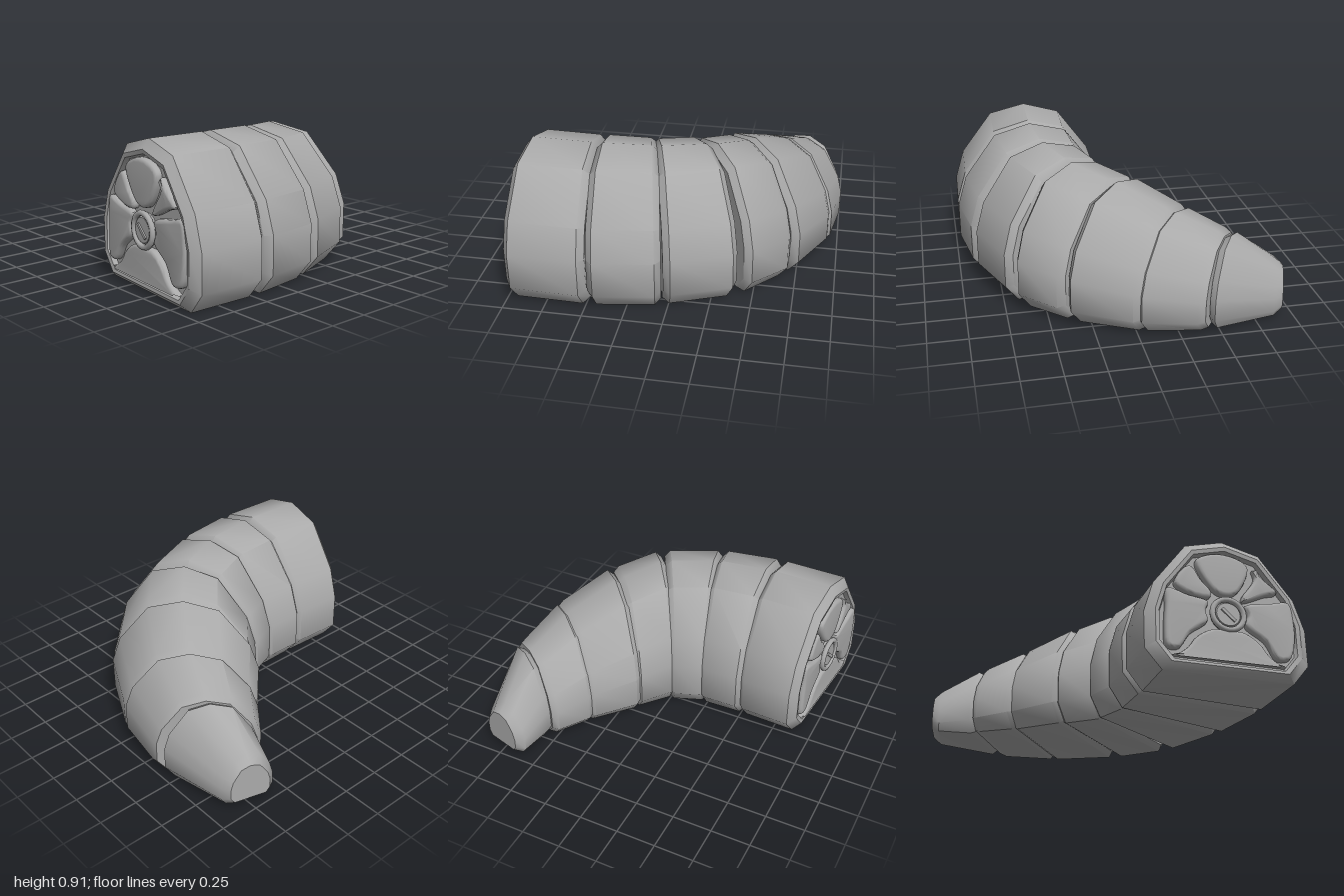
import * as THREE from 'three';
import { toCreasedNormals } from 'three/addons/utils/BufferGeometryUtils.js';

// Half cross-section: u across (-1..1), v up (0..1), flat underside
const HALF = [[0.8, 0], [1, 0.14], [1, 0.4], [0.88, 0.62], [0.47, 0.93]];
const PROFILE = [...HALF, [0, 1], ...HALF.map(([u, v]) => [-u, v]).reverse()];

// Each segment: front inner x,z, outer x,z, height; then the same at the back
const SEGMENTS = [
  [-0.06, 0.86, 0.965, 0.95, 0.912, -0.045, 0.54, 0.975, 0.52, 0.912],
  [-0.05, 0.49, 0.975, 0.43, 0.912, -0.05, 0.26, 0.915, 0.06, 0.905],
  [-0.045, 0.235, 0.885, -0.03, 0.9, -0.105, 0.075, 0.74, -0.39, 0.885],
  [-0.1, 0.05, 0.67, -0.5, 0.875, -0.27, -0.09, 0.46, -0.7, 0.82],
  [-0.31, -0.105, 0.385, -0.765, 0.81, -0.515, -0.305, 0.04, -0.93, 0.69],
  [-0.55, -0.33, -0.01, -0.95, 0.67, -0.72, -0.46, -0.34, -1.0, 0.56],
  [-0.76, -0.525, -0.45, -0.99, 0.54, -0.95, -0.575, -0.86, -0.9, 0.345],
];

// One cross-section, scaled about its middle and shifted along its forward normal
function ring([lx, lz, rx, rz, h], base, scale = 1, shift = 0) {
  const dx = (rx - lx) / 2, dz = (rz - lz) / 2, len = Math.hypot(dx, dz);
  const cx = (lx + rx) / 2 - (dz / len) * shift;
  const cz = (lz + rz) / 2 + (dx / len) * shift;
  return PROFILE.map(([u, v]) => [
    cx + dx * u * scale,
    base + (h - base) * (0.42 + (v - 0.42) * scale),
    cz + dz * u * scale,
  ]);
}

// Closed skin over rings listed from front to back
function loft(rings) {
  const n = PROFILE.length, pos = rings.flat(2), idx = [];
  for (let r = 0; r < rings.length - 1; r++) {
    for (let j = 0; j < n; j++) {
      const a = r * n + j, b = r * n + (j + 1) % n;
      idx.push(a, a + n, b, b, a + n, b + n);
    }
  }
  const last = (rings.length - 1) * n;
  for (let j = 1; j < n - 1; j++) {
    idx.push(0, j, j + 1, last, last + j + 1, last + j);
  }
  const g = new THREE.BufferGeometry();
  g.setAttribute('position', new THREE.Float32BufferAttribute(pos, 3));
  g.setIndex(idx);
  return toCreasedNormals(g, 0.8);
}

// Raised lobes on the front face: outlines in x,y
const LOBES = {
  topLobe: [[0.26, 0.73], [0.34, 0.785], [0.45, 0.8], [0.57, 0.765], [0.6, 0.72], [0.54, 0.57], [0.48, 0.52], [0.4, 0.52], [0.33, 0.58]],
  upperRightLobe: [[0.12, 0.57], [0.19, 0.68], [0.23, 0.69], [0.29, 0.6], [0.35, 0.53], [0.34, 0.49], [0.24, 0.49], [0.13, 0.54]],
  upperLeftLobe: [[0.63, 0.72], [0.7, 0.66], [0.78, 0.58], [0.7, 0.55], [0.55, 0.49], [0.55, 0.52], [0.64, 0.66]],
  rightLobe: [[0.07, 0.52], [0.2, 0.49], [0.33, 0.46], [0.31, 0.4], [0.32, 0.33], [0.21, 0.24], [0.13, 0.13], [0.06, 0.14], [0.05, 0.25], [0.06, 0.4]],
  leftLobe: [[0.85, 0.52], [0.72, 0.5], [0.56, 0.46], [0.58, 0.4], [0.56, 0.33], [0.68, 0.24], [0.75, 0.13], [0.83, 0.14], [0.87, 0.25], [0.875, 0.4]],
};

export function createModel() {
  const model = new THREE.Group();
  model.name = 'segmentedTail';
  const grey = new THREE.MeshStandardMaterial({ color: 0xaaaaaa });
  grey.name = 'grey';

  const add = (parent, geometry, name, x = 0, y = 0, z = 0) => {
    const mesh = new THREE.Mesh(geometry, grey);
    mesh.name = name;
    mesh.position.set(x, y, z);
    parent.add(mesh);
    return mesh;
  };

  // Curved row of tapering segments with bevelled ends
  SEGMENTS.forEach((s, i) => {
    const front = s.slice(0, 5), back = s.slice(5), base = 0.003 * i;
    const first = i === 0, tip = i === SEGMENTS.length - 1;
    const rings = first
      ? [ring(front, base, 0.82, 0.01), ring(front, base, 0.84, 0.04), ring(front, base, 0.89, 0.045)]
      : [ring(front, base, 0.92, 0.04)];
    rings.push(
      ring(front, base), ring(back, base),
      tip ? ring(back, base, 0.75, -0.05) : ring(back, base, 0.92, -0.04),
    );
    add(model, loft(rings), tip ? 'tipSegment' : `segment${i + 1}`);
  });

  // Face details sit in the recess of the first segment
  const face = new THREE.Group();
  face.name = 'frontFace';
  face.position.set(0.4485, 0, 0.96 - 0.045 + 0.0);
  face.rotation.y = -Math.atan2(0.09, 1.025);
  model.add(face);
  const CX = 0.4485;

  const slab = (shape, name) => {
    const g = new THREE.ExtrudeGeometry(shape, {
      depth: 0.02, bevelEnabled: true, bevelThickness: 0.022,
      bevelSize: 0.022, bevelOffset: -0.022, bevelSegments: 3, curveSegments: 6,
    });
    add(face, toCreasedNormals(g, 0.7), name);
  };
  for (const [name, pts] of Object.entries(LOBES)) {
    const curve = new THREE.CatmullRomCurve3(
      pts.map(([x, y]) => new THREE.Vector3(x - CX, y, 0)), true, 'centripetal');
    slab(new THREE.Shape(curve.getPoints(36).slice(0, -1).map(p => new THREE.Vector2(p.x, p.y))), name);
  }

  // Lower web with concave flanks
  const web = new THREE.Shape();
  web.moveTo(0.09 - CX, 0.085);
  web.lineTo(0.8 - CX, 0.085);
  web.quadraticCurveTo(0.7 - CX, 0.12, 0.66 - CX, 0.2);
  web.quadraticCurveTo(0.6 - CX, 0.27, 0.53 - CX, 0.285);
  web.lineTo(0.36 - CX, 0.285);
  web.quadraticCurveTo(0.28 - CX, 0.26, 0.23 - CX, 0.2);
  web.quadraticCurveTo(0.18 - CX, 0.11, 0.09 - CX, 0.085);
  slab(web, 'lowerWeb');

  // Central hub: rim, disc and a slanted ridge
  add(face, new THREE.TorusGeometry(0.1, 0.018, 8, 24), 'hubRim', 0, 0.385, 0.036);
  const disc = new THREE.CylinderGeometry(0.075, 0.1, 0.04, 20).rotateX(Math.PI / 2);
  add(face, toCreasedNormals(disc, 0.5), 'hubDisc', 0, 0.385, 0.022);
  const ridge = add(face, new THREE.BoxGeometry(0.11, 0.02, 0.012), 'hubRidge', 0, 0.38, 0.045);
  ridge.rotation.z = -0.75;

  return model;
}
